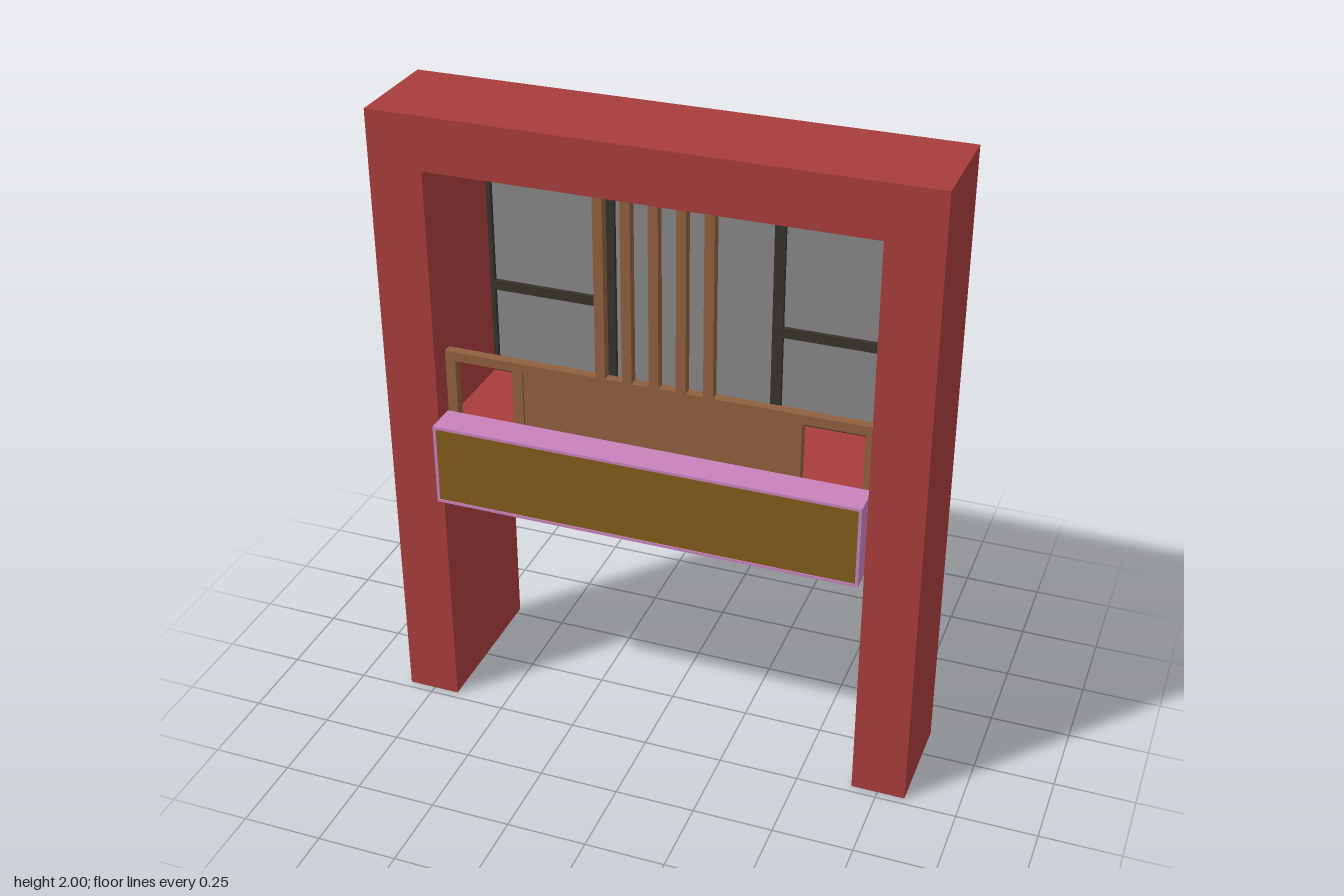
import * as THREE from 'three';

const mat = (color, side = THREE.FrontSide) => new THREE.MeshStandardMaterial({ color, side });

export function createModel() {
  const model = new THREE.Group();
  const red = mat(0xa83c3d, THREE.DoubleSide);
  const dark = mat(0x38332b);
  const glass = mat(0x888888, THREE.DoubleSide);
  const wood = mat(0x90603f);
  const pink = mat(0xc882bd);
  const gold = mat(0x825c1c);

  const add = (parent, name, geometry, material) => {
    const mesh = new THREE.Mesh(geometry, material);
    mesh.name = name;
    parent.add(mesh);
    return mesh;
  };
  const group = (name) => {
    const g = new THREE.Group();
    g.name = name;
    model.add(g);
    return g;
  };
  // box given by its limits on each axis
  const box = (parent, name, material, [x0, x1], [y0, y1], [z0, z1]) =>
    add(parent, name, new THREE.BoxGeometry(x1 - x0, y1 - y0, z1 - z0), material)
      .position.set((x0 + x1) / 2, (y0 + y1) / 2, (z0 + z1) / 2);
  // thin upright sheet at constant x
  const wall = (parent, name, x, height, z0, z1) => {
    const m = add(parent, name, new THREE.PlaneGeometry(z1 - z0, height), red);
    m.rotation.y = Math.sign(x) * Math.PI / 2;
    m.position.set(x, height / 2, (z0 + z1) / 2);
  };
  // thin level sheet at constant y
  const deck = (parent, name, y, halfWidth, z0, z1) => {
    const m = add(parent, name, new THREE.PlaneGeometry(halfWidth * 2, z1 - z0), red);
    m.rotation.x = -Math.PI / 2;
    m.position.set(0, y, (z0 + z1) / 2);
  };

  const OUT = 0.835, IN = 0.668, TOP = 2, HEAD = 1.835;
  const FRONT = 0.225, MID = -0.108, BACK = -0.275;

  // Hollow surround made of thin sheets, open at the back and underneath
  const surround = group('surround');
  const portal = new THREE.Shape([
    [-OUT, 0], [-IN, 0], [-IN, HEAD], [IN, HEAD], [IN, 0], [OUT, 0], [OUT, TOP], [-OUT, TOP],
  ].map(([x, y]) => new THREE.Vector2(x, y)));
  add(surround, 'frontFace', new THREE.ShapeGeometry(portal), red).position.z = FRONT;
  for (const s of [-1, 1]) {
    wall(surround, 'outerSide', s * OUT, TOP, MID, FRONT);
    wall(surround, 'innerSide', s * IN, HEAD, BACK, FRONT);
  }
  deck(surround, 'outerTop', TOP, OUT, MID, FRONT);
  deck(surround, 'innerTop', HEAD, IN, BACK, FRONT);
  deck(surround, 'windowSill', 1.0, IN, -0.2, 0.17);
  deck(surround, 'lowerShelf', 0.83, IN, BACK, 0.17);

  // Window with three bays; the outer bays have a crossbar
  const win = group('window');
  const wz = [-0.2, -0.172], wTop = HEAD - 0.002, wBottom = 1.002, edge = 0.652, side = 0.666;
  box(win, 'windowHead', dark, [-side, side], [wTop - 0.015, wTop], wz);
  box(win, 'windowFoot', dark, [-side, side], [wBottom, wBottom + 0.015], wz);
  for (const s of [-1, 1]) {
    const span = (a, b) => (s > 0 ? [a, b] : [-b, -a]);
    box(win, 'windowJamb', dark, span(edge, side), [wBottom, wTop], wz);
    box(win, 'mullion', dark, span(0.25, 0.283), [wBottom, wTop], wz);
    box(win, 'crossbar', dark, span(0.283, edge), [1.287, 1.318], wz);
  }
  add(win, 'glass', new THREE.PlaneGeometry(edge * 2, wTop - wBottom), glass)
    .position.set(0, (wTop + wBottom) / 2, -0.186);

  // Wooden screen: rail, stiles, centre panel and five slats
  const screen = group('woodScreen');
  const sz = [0.13, 0.16];
  box(screen, 'rail', wood, [-side, side], [1.205, 1.235], sz);
  for (const s of [-1, 1]) {
    for (const x of [0.65, 0.432]) {
      box(screen, 'stile', wood, [s * x - 0.016, s * x + 0.016], [1.001, 1.205], sz);
    }
  }
  box(screen, 'centrePanel', wood, [-0.416, 0.416], [1.001, 1.205], [0.136, 0.152]);
  for (let i = -2; i <= 2; i++) {
    const x = i * 0.083;
    box(screen, 'slat', wood, [x - 0.015, x + 0.015], [1.235, HEAD - 0.002], sz);
  }

  // Front panel box with a raised rim around an inlay
  const panel = group('frontPanel');
  const px = 0.664, y0 = 0.772, y1 = 1.036, rim = 0.009;
  box(panel, 'panelBody', pink, [-px, px], [y0, y1], [0.17, 0.268]);
  for (const y of [y0, y1 - rim]) {
    box(panel, 'panelRim', pink, [-px, px], [y, y + rim], [0.268, 0.275]);
  }
  for (const x of [-px, px - rim]) {
    box(panel, 'panelRim', pink, [x, x + rim], [y0 + rim, y1 - rim], [0.268, 0.275]);
  }
  box(panel, 'panelInlay', gold, [rim - px, px - rim], [y0 + rim, y1 - rim], [0.268, 0.272]);

  return model;
}
